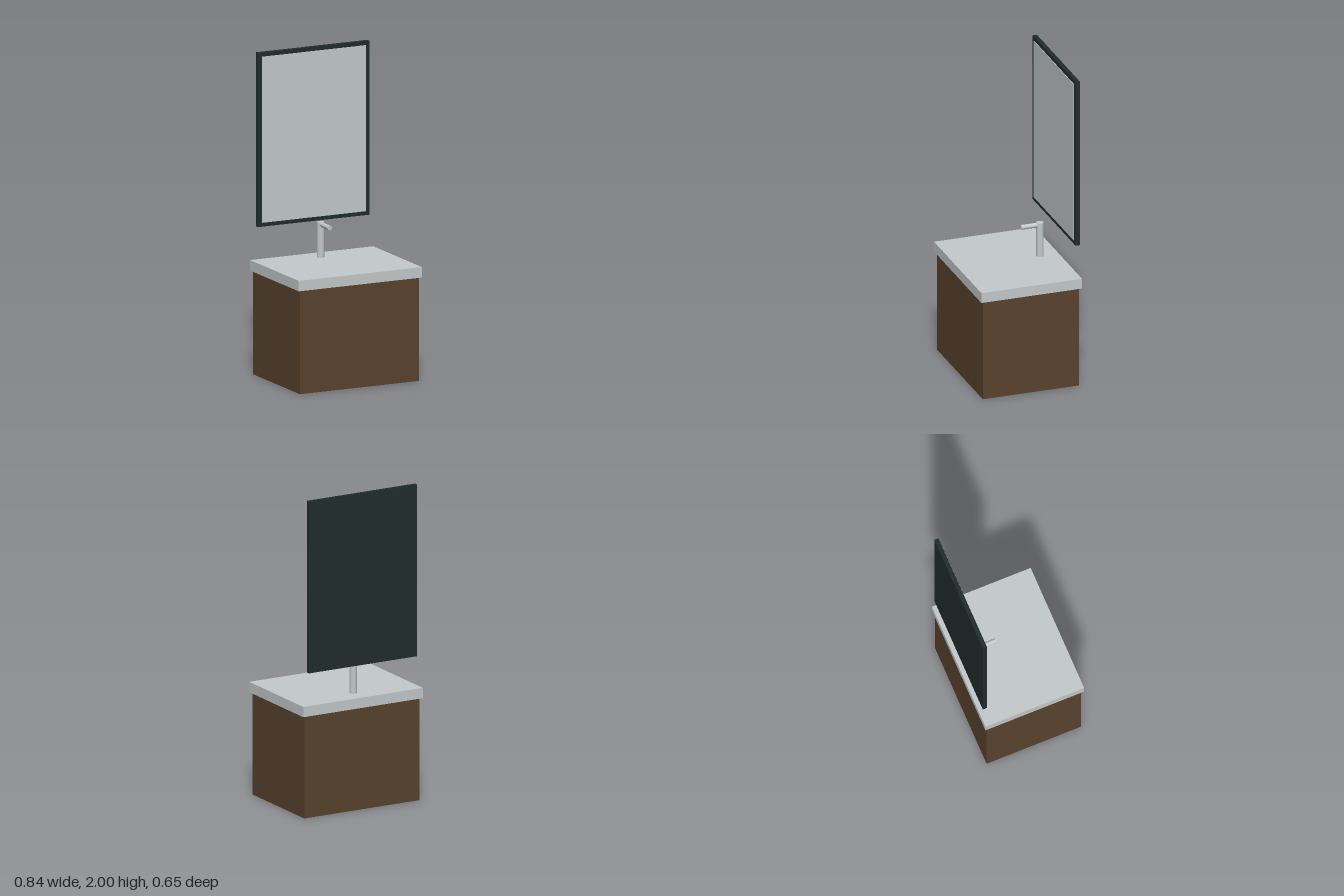
import * as THREE from 'three';

const material = (name, color) => {
  const m = new THREE.MeshStandardMaterial({ color });
  m.name = name;
  return m;
};

export function createModel() {
  const wood = material('brown wood', 0x5a432d);
  const stone = material('pale grey stone', 0xc4cacc);
  const glass = material('mirror glass', 0xc4cacc);
  const metal = material('brushed metal', 0xc4c9cb);
  const dark = material('dark frame', 0x222d2d);

  const model = new THREE.Group();
  model.name = 'vanity';

  const add = (parent, name, geometry, mat, x, y, z) => {
    const mesh = new THREE.Mesh(geometry, mat);
    mesh.name = name;
    mesh.position.set(x, y, z);
    parent.add(mesh);
    return mesh;
  };

  // Cabinet and overhanging countertop
  add(model, 'cabinet', new THREE.BoxGeometry(0.812, 0.645, 0.622), wood, 0, 0.3225, 0);
  add(model, 'countertop', new THREE.BoxGeometry(0.842, 0.065, 0.651), stone, 0, 0.6775, 0);

  // Faucet: upright post with a forward spout
  const faucet = new THREE.Group();
  faucet.name = 'faucet';
  model.add(faucet);
  add(faucet, 'faucetPost', new THREE.CylinderGeometry(0.023, 0.023, 0.222, 32), metal, 0, 0.819, -0.206);
  const spout = add(faucet, 'faucetSpout', new THREE.CylinderGeometry(0.015, 0.015, 0.123, 24), metal, 0, 0.915, -0.1445);
  spout.rotation.x = Math.PI / 2;

  // Mirror: solid dark backing with a thin pane on its front
  const mirror = new THREE.Group();
  mirror.name = 'mirror';
  model.add(mirror);
  add(mirror, 'mirrorFrame', new THREE.BoxGeometry(0.762, 1.084, 0.027), dark, 0, 1.458, -0.312);
  add(mirror, 'mirrorGlass', new THREE.BoxGeometry(0.708, 1.034, 0.005), glass, 0, 1.458, -0.297);

  return model;
}
